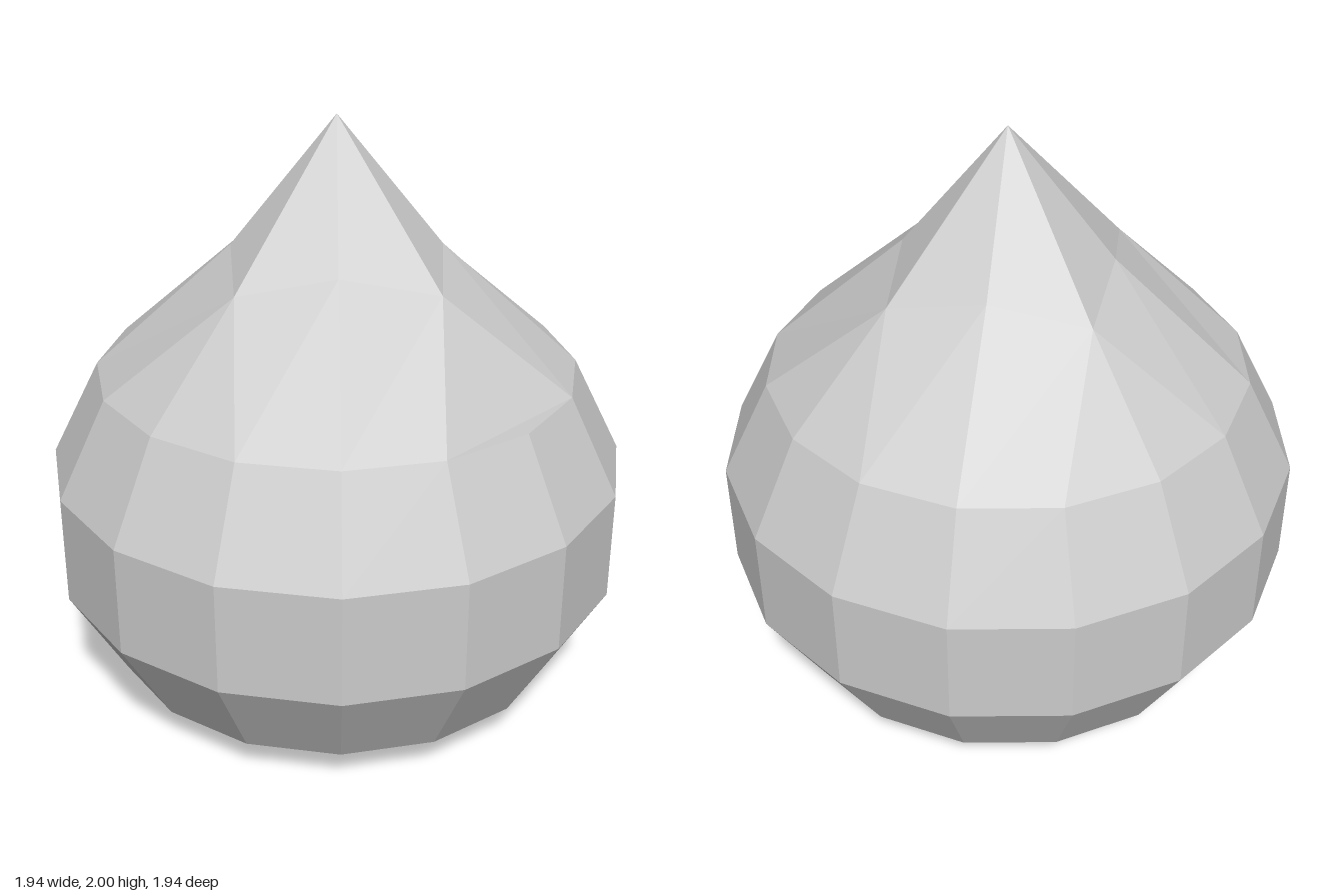
import * as THREE from 'three';

const SIDES = 16;

// Regular ring of points, starting at the front and turning towards +x
function roundRing(radius, y) {
  return Array.from({ length: SIDES }, (_, i) => {
    const a = (i / SIDES) * Math.PI * 2;
    return new THREE.Vector3(radius * Math.sin(a), y, radius * Math.cos(a));
  });
}

// Eight-point ring padded to sixteen: each corner point serves three neighbours
function squareRing(midRadius, midY, corner, cornerY) {
  return Array.from({ length: SIDES }, (_, i) => {
    const q = Math.floor(i / 4);
    const isMid = i % 4 === 0;
    const a = q * Math.PI / 2 + (isMid ? 0 : Math.PI / 4);
    const r = isMid ? midRadius : corner * Math.SQRT2;
    return new THREE.Vector3(r * Math.sin(a), isMid ? midY : cornerY, r * Math.cos(a));
  });
}

function facetedMesh(name, rings, material, dentRing = -1) {
  const pos = [];
  const tri = (a, b, c) => {
    const area = b.clone().sub(a).cross(c.clone().sub(a)).length();
    if (area > 1e-6) for (const p of [a, b, c]) pos.push(p.x, p.y, p.z);
  };
  for (let k = 0; k < rings.length - 1; k++) {
    const lo = rings[k], hi = rings[k + 1];
    for (let i = 0; i < SIDES; i++) {
      const j = (i + 1) % SIDES;
      if (k === dentRing && (i === 1 || i === 2)) {
        // One shoulder corner folds the other way, leaving a tiny flat ledge
        if (i === 1) {
          tri(lo[1], lo[2], lo[3]);
          tri(lo[1], lo[3], hi[2]);
        }
        continue;
      }
      tri(lo[i], lo[j], hi[j]);
      tri(lo[i], hi[j], hi[i]);
    }
  }
  const geometry = new THREE.BufferGeometry();
  geometry.setAttribute('position', new THREE.Float32BufferAttribute(pos, 3));
  geometry.computeVertexNormals();
  const mesh = new THREE.Mesh(geometry, material);
  mesh.name = name;
  return mesh;
}

export function createModel() {
  const group = new THREE.Group();
  group.name = 'pointedDrop';
  const material = new THREE.MeshStandardMaterial({ color: 0xcccccc, flatShading: true });

  const base = squareRing(0.35, 0, 0.25, 0);
  const belly = roundRing(0.785, 0.14);
  const shoulder = roundRing(0.805, 1.16);
  const neck = squareRing(0.345, 1.575, 0.32, 1.51);

  // Flat foot and the shallow underside
  group.add(facetedMesh('base', [roundRing(0, 0), base, belly], material));

  // Round sixteen-sided body
  group.add(facetedMesh('body',
    [belly, roundRing(0.97, 0.465), roundRing(0.97, 0.835), shoulder], material));

  // Sloping shoulders, going from round to square
  group.add(facetedMesh('shoulders', [shoulder, neck], material, 0));

  // Four-sided pointed tip
  group.add(facetedMesh('tip', [neck, roundRing(0, 2)], material));

  return group;
}
